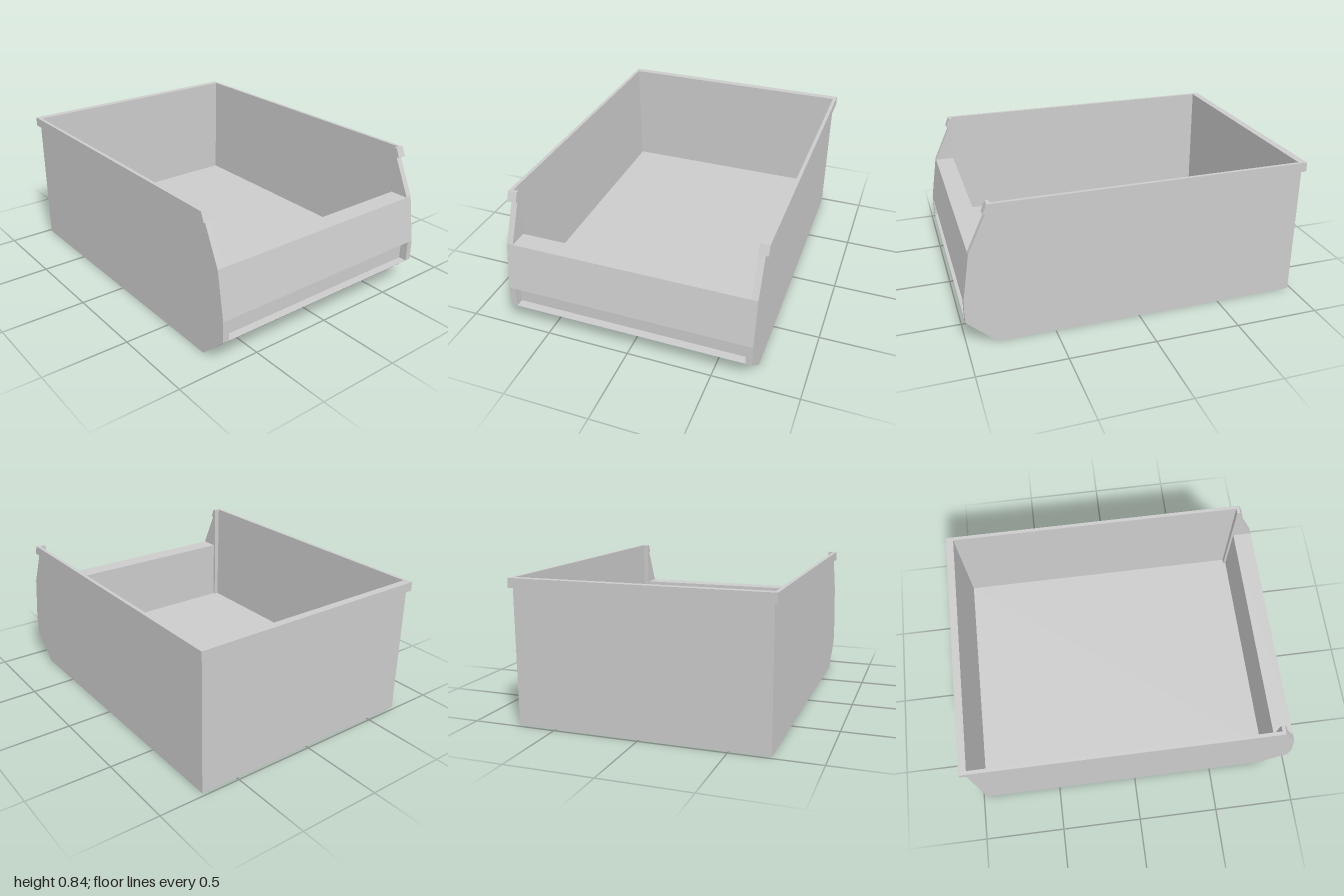
import * as THREE from 'three';

const material = new THREE.MeshStandardMaterial({ color: 0xcccccc, flatShading: true });

// Extrude a side profile of [z, y] points from x0 to x1
function profilePart(name, points, x0, x1) {
  const shape = new THREE.Shape(points.map(([z, y]) => new THREE.Vector2(z, y)));
  const geo = new THREE.ExtrudeGeometry(shape, { depth: x1 - x0, bevelEnabled: false });
  geo.rotateY(-Math.PI / 2);
  geo.translate(x1, 0, 0);
  const mesh = new THREE.Mesh(geo, material);
  mesh.name = name;
  return mesh;
}

export function createModel() {
  const bin = new THREE.Group();
  bin.name = 'storageBin';

  const W = 0.727;      // outer half width
  const P = 0.69;       // half width between the front posts
  const FLOOR = 0.16;
  const TOP = 0.84;
  const RIM = 0.785;    // underside of the rim

  // Thick floor with the chamfered front edge and label sill
  bin.add(profilePart('base', [
    [-0.98, 0], [0.83, 0], [1, 0.155], [0.95, 0.155], [0.95, FLOOR], [-0.98, FLOOR],
  ], -W, W));

  // Low front wall with the label recess under its sloping face
  bin.add(profilePart('frontWall', [
    [0.84, FLOOR], [0.95, FLOOR], [0.95, 0.28], [1, 0.28], [0.955, 0.56], [0.84, 0.56],
  ], -P, P));

  // Back wall and its rim
  bin.add(profilePart('backWall', [
    [-0.98, FLOOR], [-0.955, FLOOR], [-0.955, TOP], [-0.98, TOP],
  ], -W, W));
  bin.add(profilePart('backRim', [
    [-1, RIM], [-0.98, RIM], [-0.98, TOP], [-1, TOP],
  ], -W, W));

  for (const side of [1, -1]) {
    const name = side > 0 ? 'left' : 'right';
    const span = (a, b) => (side > 0 ? [a, b] : [-b, -a]);

    // Thin side wall, slightly thicker towards the floor
    const section = new THREE.Shape([
      [W, FLOOR], [W, TOP], [0.724, TOP], [0.717, FLOOR],
    ].map(([x, y]) => new THREE.Vector2(side * x, y)));
    const wallGeo = new THREE.ExtrudeGeometry(section, { depth: 0.825 + 0.955, bevelEnabled: false });
    wallGeo.translate(0, 0, -0.955);
    const wall = new THREE.Mesh(wallGeo, material);
    wall.name = name + 'Wall';
    bin.add(wall);

    // Front post that follows the curved front outline
    bin.add(profilePart(name + 'Post', [
      [0.825, FLOOR], [0.95, FLOOR], [0.95, 0.155], [1, 0.155], [1, 0.28], [0.955, 0.56],
      [0.85, RIM], [0.868, RIM], [0.845, TOP], [0.825, TOP],
    ], ...span(P, W)));

    // Side rim with a slanted front end
    bin.add(profilePart(name + 'Rim', [
      [-1, RIM], [0.868, RIM], [0.845, TOP], [-1, TOP],
    ], ...span(W, 0.745)));
  }
  return bin;
}
